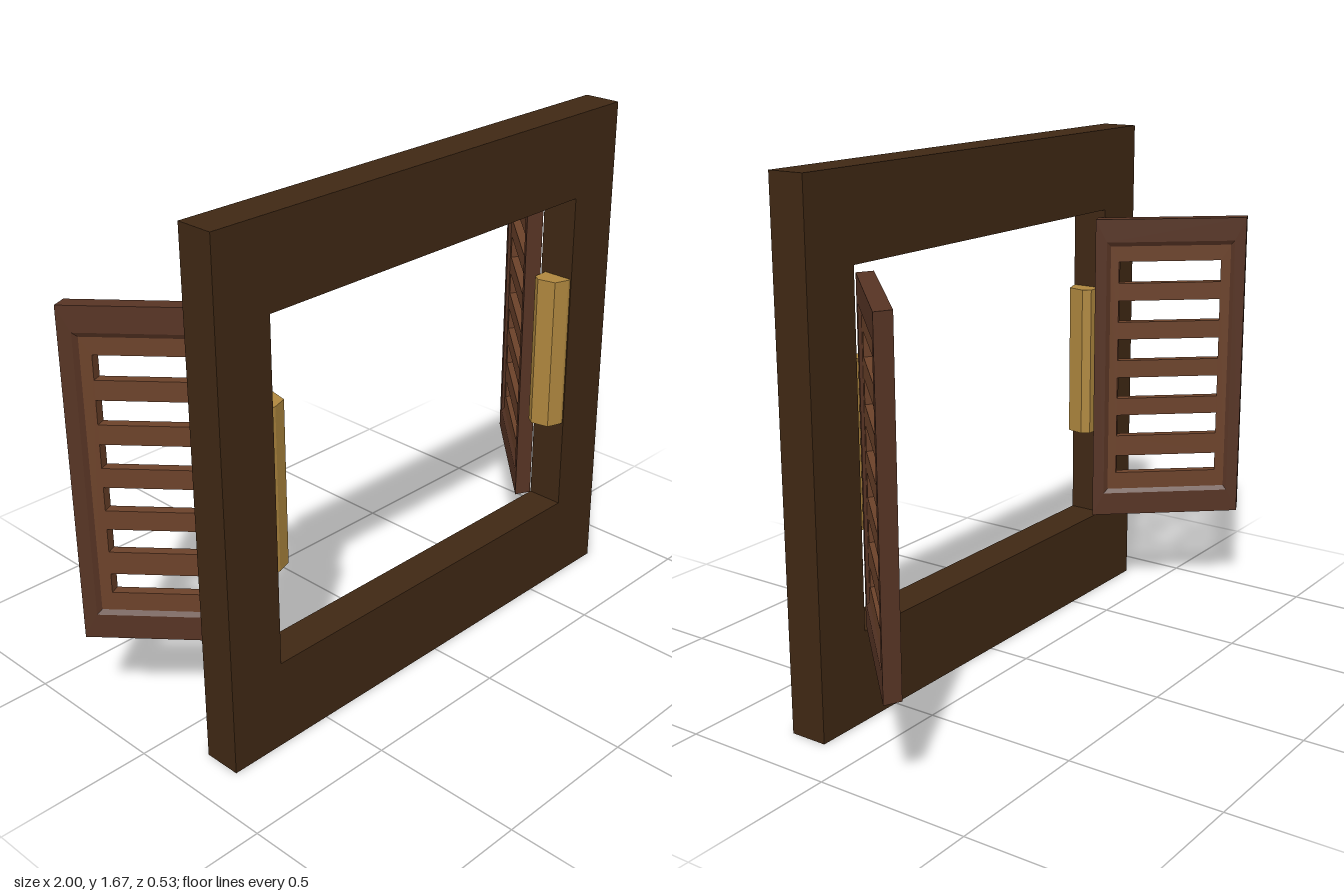
import * as THREE from 'three';

const material = (color) => new THREE.MeshStandardMaterial({ color, flatShading: true });

// Path of corner points, also used for holes
const rectPoints = (x0, y0, x1, y1) =>
  [[x0, y0], [x1, y0], [x1, y1], [x0, y1]].map(([x, y]) => new THREE.Vector2(x, y));

// Flat plate with rectangular holes, extruded along z from z0 to z1
function plate(outer, holes, z0, z1) {
  const shape = new THREE.Shape(rectPoints(...outer));
  for (const h of holes) shape.holes.push(new THREE.Path(rectPoints(...h)));
  return new THREE.ExtrudeGeometry(shape, { depth: z1 - z0, bevelEnabled: false }).translate(0, 0, z0);
}

// Mitred rectangular border: each profile entry is [x inset, y inset, z]
function border(w0, y0, w1, y1, profile) {
  const n = profile.length, pos = [], index = [];
  for (let c = 0; c < 4; c++) {
    for (const [ix, iy, z] of profile) {
      pos.push(c === 0 || c === 3 ? w0 + ix : w1 - ix, c < 2 ? y0 + iy : y1 - iy, z);
    }
  }
  for (let c = 0; c < 4; c++) {
    for (let i = 0; i < n; i++) {
      const a = c * n + i, b = ((c + 1) % 4) * n + i;
      const j = (i + 1) % n, d = c * n + j, e = ((c + 1) % 4) * n + j;
      index.push(a, b, e, a, e, d);
    }
  }
  const g = new THREE.BufferGeometry();
  g.setAttribute('position', new THREE.Float32BufferAttribute(pos, 3));
  g.setIndex(index);
  return g;
}

export function createModel() {
  const model = new THREE.Group();
  const frameMat = material(0x402814);
  const borderMat = material(0x573424);
  const panelMat = material(0x6c422a);
  const brassMat = material(0xb0883f);

  const add = (parent, name, geometry, mat) => {
    const mesh = new THREE.Mesh(geometry, mat);
    mesh.name = name;
    parent.add(mesh);
  };

  // Window frame
  add(model, 'windowFrame',
    plate([-0.87, 0, 0.83, 1.67], [[-0.68, 0.29, 0.635, 1.395]], 0.143, 0.266), frameMat);

  // Shutters: drawn one unit wide and thick, then skewed into their open position
  const shutter = (name, origin, along, across) => {
    const group = new THREE.Group();
    group.name = name;
    const place = new THREE.Matrix4().makeBasis(
      new THREE.Vector3(along[0], 0, along[1]),
      new THREE.Vector3(0, 1, 0),
      new THREE.Vector3(across[0], 0, across[1])
    ).setPosition(origin[0], 0, origin[1]);
    const finish = (g) => {
      const flat = g.index ? g.toNonIndexed() : g;
      flat.applyMatrix4(place);
      flat.computeVertexNormals();
      return flat;
    };

    // Border with a bevelled inner edge on both faces
    const profile = [
      [0, 0, 0], [0, 0, 1], [0.075, 0.08, 1],
      [0.1, 0.095, 0.83], [0.1, 0.095, 0.17], [0.075, 0.08, 0],
    ];
    add(group, 'shutterBorder', finish(border(0, 0.3, 1, 1.37, profile)), borderMat);

    // Slatted panel
    const slots = [];
    for (let i = 0; i < 6; i++) {
      const y = 0.455 + i * 0.138;
      slots.push([0.165, y, 0.845, y + (i ? 0.076 : 0.064)]);
    }
    add(group, 'slattedPanel', finish(plate([0.09, 0.39, 0.91, 1.28], slots, 0.17, 0.83)), panelMat);
    model.add(group);
  };
  shutter('leftShutter', [0.565, 0.13], [0.385, -0.39], [0.05, 0.025]);
  shutter('rightShutter', [-0.955, -0.265], [0.345, 0.4], [-0.045, 0.02]);

  // Hinges: faceted upright prisms on the inner jambs
  const hingePlan = [[0, 0.262], [0.012, 0.262], [0.06, 0.245], [0.073, 0.185], [0.055, 0.16], [0, 0.16]];
  for (const [name, x, side] of [['rightHinge', -0.68, 1], ['leftHinge', 0.637, -1]]) {
    const shape = new THREE.Shape(hingePlan.map(([d, z]) => new THREE.Vector2(x + side * d, -z)));
    const g = new THREE.ExtrudeGeometry(shape, { depth: 0.52, bevelEnabled: false });
    add(model, name, g.rotateX(-Math.PI / 2).translate(0, 0.6, 0), brassMat);
  }

  return model;
}
